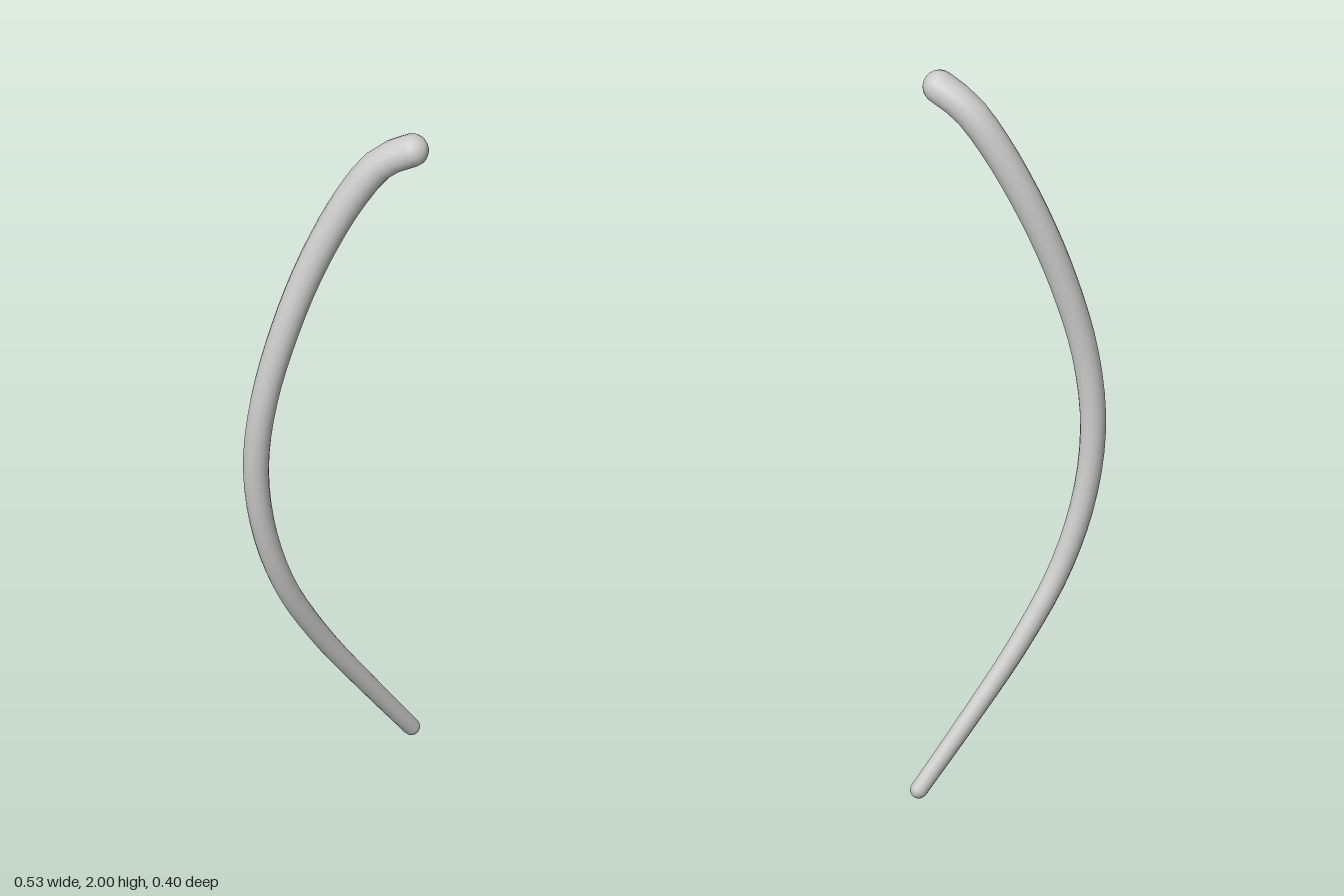
import * as THREE from 'three';

// Sweeps a round section with linear taper along a curve and closes it with domed ends.
function taperedRod(curve, r0, r1, segments, sides, capRings) {
  const frames = curve.computeFrenetFrames(segments, false);
  const rows = [];
  // lower dome, from pole to rim
  for (let i = 0; i < capRings; i++) {
    const a = (i / capRings) * Math.PI / 2;
    rows.push({ k: 0, shift: -r0 * Math.cos(a), r: r0 * Math.sin(a) });
  }
  // shaft
  for (let k = 0; k <= segments; k++) {
    rows.push({ k, shift: 0, r: THREE.MathUtils.lerp(r0, r1, k / segments) });
  }
  // upper dome, from rim to pole
  for (let i = 1; i <= capRings; i++) {
    const a = (i / capRings) * Math.PI / 2;
    rows.push({ k: segments, shift: r1 * Math.sin(a), r: r1 * Math.cos(a) });
  }

  const positions = [], index = [];
  rows.forEach(({ k, shift, r }, row) => {
    const centre = curve.getPointAt(k / segments).addScaledVector(frames.tangents[k], shift);
    for (let j = 0; j < sides; j++) {
      const a = (j / sides) * Math.PI * 2;
      const p = centre.clone()
        .addScaledVector(frames.normals[k], r * Math.cos(a))
        .addScaledVector(frames.binormals[k], r * Math.sin(a));
      positions.push(p.x, p.y, p.z);
      if (row < rows.length - 1) {
        const a0 = row * sides + j, b0 = row * sides + (j + 1) % sides;
        index.push(a0, b0, a0 + sides, b0, b0 + sides, a0 + sides);
      }
    }
  });
  const geometry = new THREE.BufferGeometry();
  geometry.setAttribute('position', new THREE.Float32BufferAttribute(positions, 3));
  geometry.setIndex(index);
  geometry.computeVertexNormals();
  return geometry;
}

export function createModel() {
  const group = new THREE.Group();
  group.name = 'curvedRod';

  // centre line, from the thin foot to the hooked thick end
  const path = new THREE.CatmullRomCurve3([
    [0.238, 0.024, -0.002],
    [0.11, 0.2, -0.05],
    [-0.03, 0.4, -0.1],
    [-0.143, 0.6, -0.138],
    [-0.205, 0.8, -0.163],
    [-0.23, 1.0, -0.168],
    [-0.221, 1.2, -0.148],
    [-0.182, 1.4, -0.112],
    [-0.125, 1.6, -0.062],
    [-0.057, 1.8, 0.015],
    [-0.012, 1.91, 0.085],
    [0.017, 1.955, 0.157],
  ].map((p) => new THREE.Vector3(...p)));

  const rod = new THREE.Mesh(
    taperedRod(path, 0.023, 0.045, 40, 16, 5),
    new THREE.MeshStandardMaterial({ color: 0xcccccc }),
  );
  rod.name = 'taperedShaft';
  group.add(rod);
  return group;
}
